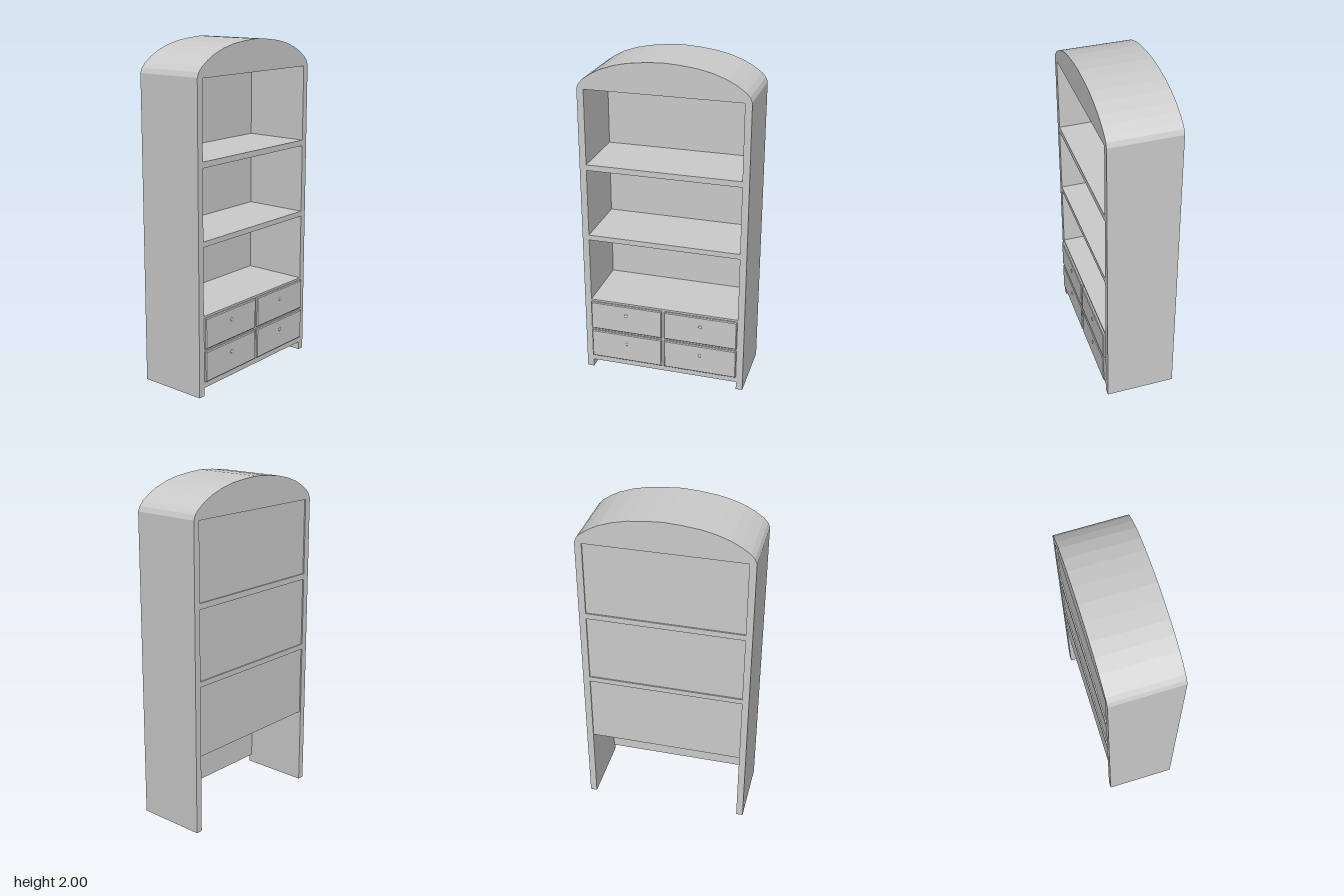
import * as THREE from 'three';

const BACK = -0.22, FRONT = 0.2, INNER = 0.46;

export function createModel() {
  const group = new THREE.Group();
  group.name = 'bookcase';
  const material = new THREE.MeshStandardMaterial({ color: 0xcccccc, flatShading: true });

  function add(name, geometry, x = 0, y = 0, z = 0) {
    const mesh = new THREE.Mesh(geometry, material);
    mesh.name = name;
    mesh.position.set(x, y, z);
    group.add(mesh);
    return mesh;
  }

  // Box given by its x and y limits, spanning between the side walls
  function board(name, x0, x1, y0, y1) {
    add(name, new THREE.BoxGeometry(x1 - x0, y1 - y0, INNER * 2), (x0 + x1) / 2, (y0 + y1) / 2, 0);
  }

  // Side walls and solid arched top, one outline extruded through the depth
  const arch = [[0.5, 1.82], [0.488, 1.848], [0.465, 1.873], [0.415, 1.907], [0.36, 1.936],
    [0.28, 1.964], [0.2, 1.982], [0.1, 1.994]];
  const outline = [[0.5, 0], ...arch, [0, 2],
    ...arch.map(([u, v]) => [-u, v]).reverse(), [-0.5, 0],
    [-INNER, 0], [-INNER, 1.815], [INNER, 1.815], [INNER, 0]];
  const shell = new THREE.ExtrudeGeometry(
    new THREE.Shape(outline.map(([u, v]) => new THREE.Vector2(u, v))),
    { depth: FRONT - BACK, bevelEnabled: false });
  shell.rotateY(Math.PI / 2);
  add('archedCase', shell, BACK, 0, 0);

  // Shelves, the lowest one covering the drawer bay
  board('upperShelf', BACK, FRONT, 1.33, 1.365);
  board('middleShelf', BACK, FRONT, 0.885, 0.917);
  board('lowerShelf', -0.2, FRONT, 0.465, 0.483);

  // Back panels, slightly recessed between the shelves
  for (const [y0, y1] of [[0.465, 0.885], [0.917, 1.33], [1.365, 1.815]]) {
    board('backPanel', -0.212, -0.2, y0, y1);
  }

  // Drawer frame, open from behind and below
  board('drawerBacking', FRONT - 0.02, FRONT, 0.05, 0.465);

  // Drawer fronts with chamfered edges and small round knobs
  const w = 0.45, h = 0.184, bevel = 0.005;
  const face = new THREE.Shape();
  face.moveTo(-w / 2 + bevel, -h / 2 + bevel);
  face.lineTo(w / 2 - bevel, -h / 2 + bevel);
  face.lineTo(w / 2 - bevel, h / 2 - bevel);
  face.lineTo(-w / 2 + bevel, h / 2 - bevel);
  face.closePath();
  const drawer = new THREE.ExtrudeGeometry(face, {
    depth: 0.01, bevelEnabled: true, bevelSize: bevel, bevelThickness: bevel, bevelSegments: 1 });
  drawer.rotateY(Math.PI / 2);
  const knob = new THREE.SphereGeometry(0.011, 12, 8);
  knob.scale(0.6, 1, 1);
  for (const y of [0.18, 0.379]) {
    for (const z of [-0.233, 0.233]) {
      add('drawerFront', drawer, FRONT, y, z);
      add('drawerKnob', knob, FRONT + 0.0145, y + 0.026, z);
    }
  }

  return group;
}
